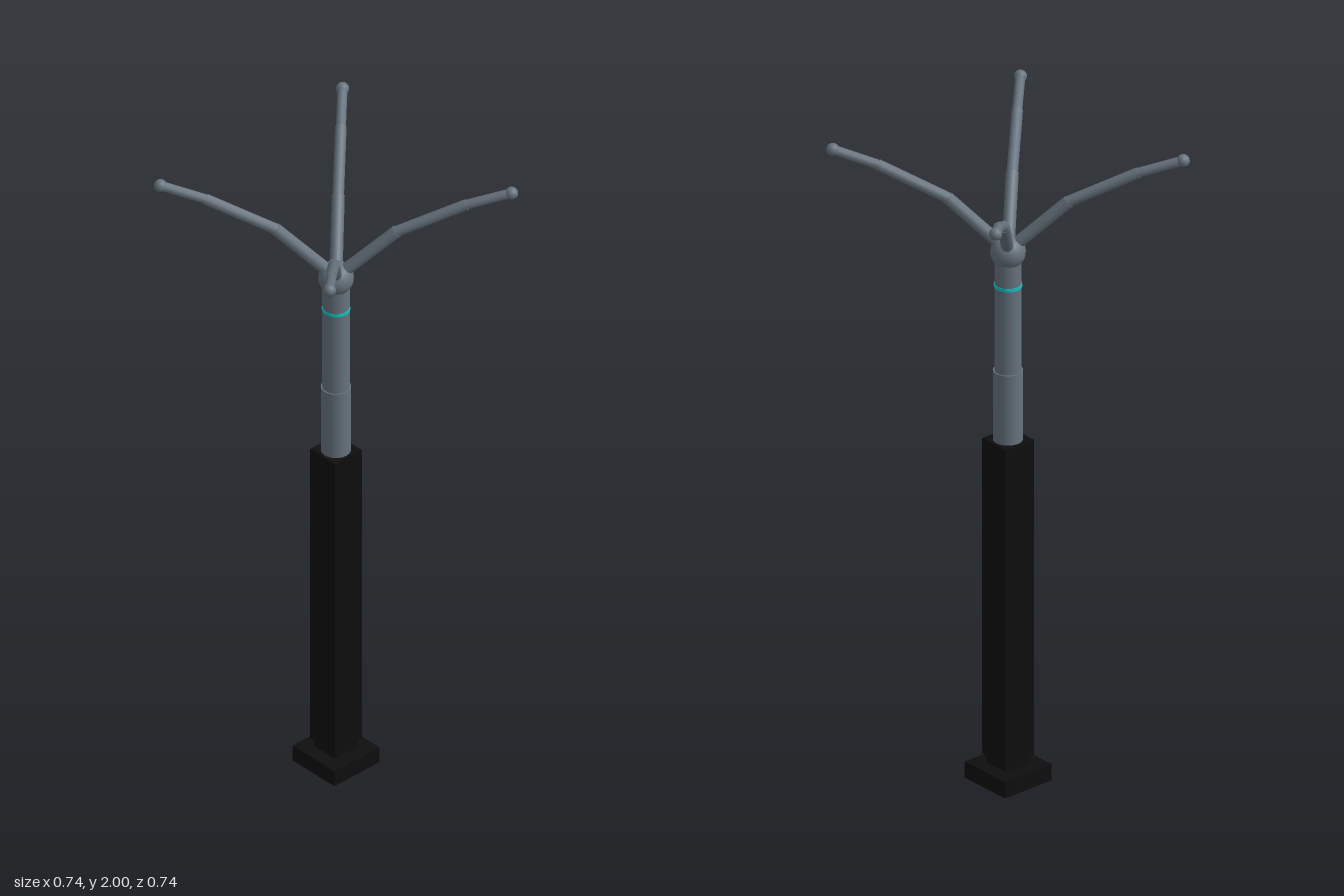
import * as THREE from 'three';

const steel = new THREE.MeshStandardMaterial({ name: 'slate steel', color: 0x66727d });
const steelFlat = steel;
const black = new THREE.MeshStandardMaterial({ name: 'black', color: 0x0e0e0e });
const cyan = new THREE.MeshStandardMaterial({ name: 'cyan', color: 0x12c4c4 });

function add(parent, name, geometry, material, y = 0) {
  const mesh = new THREE.Mesh(geometry, material);
  mesh.name = name;
  mesh.position.y = y;
  parent.add(mesh);
  return mesh;
}

// Upright box or cylinder spanning y0 to y1
const block = (g, name, half, y0, y1) =>
  add(g, name, new THREE.BoxGeometry(half * 2, y1 - y0, half * 2), black, (y0 + y1) / 2);
const tube = (g, name, r, y0, y1, mat) =>
  add(g, name, new THREE.CylinderGeometry(r, r, y1 - y0, 24), mat, (y0 + y1) / 2);

// Straight rod between two points
function rod(parent, name, a, b, r) {
  const dir = b.clone().sub(a);
  const mesh = add(parent, name, new THREE.CylinderGeometry(r, r, dir.length(), 10), steelFlat);
  mesh.position.copy(a).addScaledVector(dir, 0.5);
  mesh.quaternion.setFromUnitVectors(new THREE.Vector3(0, 1, 0), dir.normalize());
}

export function createModel() {
  const model = new THREE.Group();
  model.name = 'branchedPost';

  // Square foot and column
  block(model, 'foot', 0.087, 0, 0.052);
  block(model, 'neck', 0.044, 0.052, 0.08);
  block(model, 'column', 0.052, 0.08, 1.08);

  // Stepped round pole with a coloured band and ball hub
  tube(model, 'lowerPole', 0.043, 1.08, 1.3, steel);
  tube(model, 'upperPole', 0.039, 1.3, 1.66, steel);
  tube(model, 'band', 0.0405, 1.565, 1.575, cyan);
  add(model, 'hub', new THREE.SphereGeometry(0.051, 20, 12), steel, 1.675);

  // Four bent arms on the diagonals, each with three sections and a ball tip
  const d = Math.SQRT2;
  const path = [[0.02, 1.705], [0.122, 1.84], [0.262, 1.938], [0.352, 1.981]]
    .map(([x, y]) => new THREE.Vector3(x * d, y, 0));
  const radii = [0.0185, 0.0165, 0.0145];
  for (let i = 0; i < 4; i++) {
    const arm = new THREE.Group();
    arm.name = 'arm' + (i + 1);
    arm.rotation.y = Math.PI / 4 + i * Math.PI / 2;
    radii.forEach((r, k) => {
      rod(arm, 'armSection' + (k + 1), path[k], path[k + 1], r);
      if (k) add(arm, 'armJoint' + k, new THREE.SphereGeometry(r, 10, 8), steel).position.copy(path[k]);
    });
    add(arm, 'armTip', new THREE.SphereGeometry(0.019, 14, 10), steel).position.copy(path[3]);
    model.add(arm);
  }
  return model;
}
